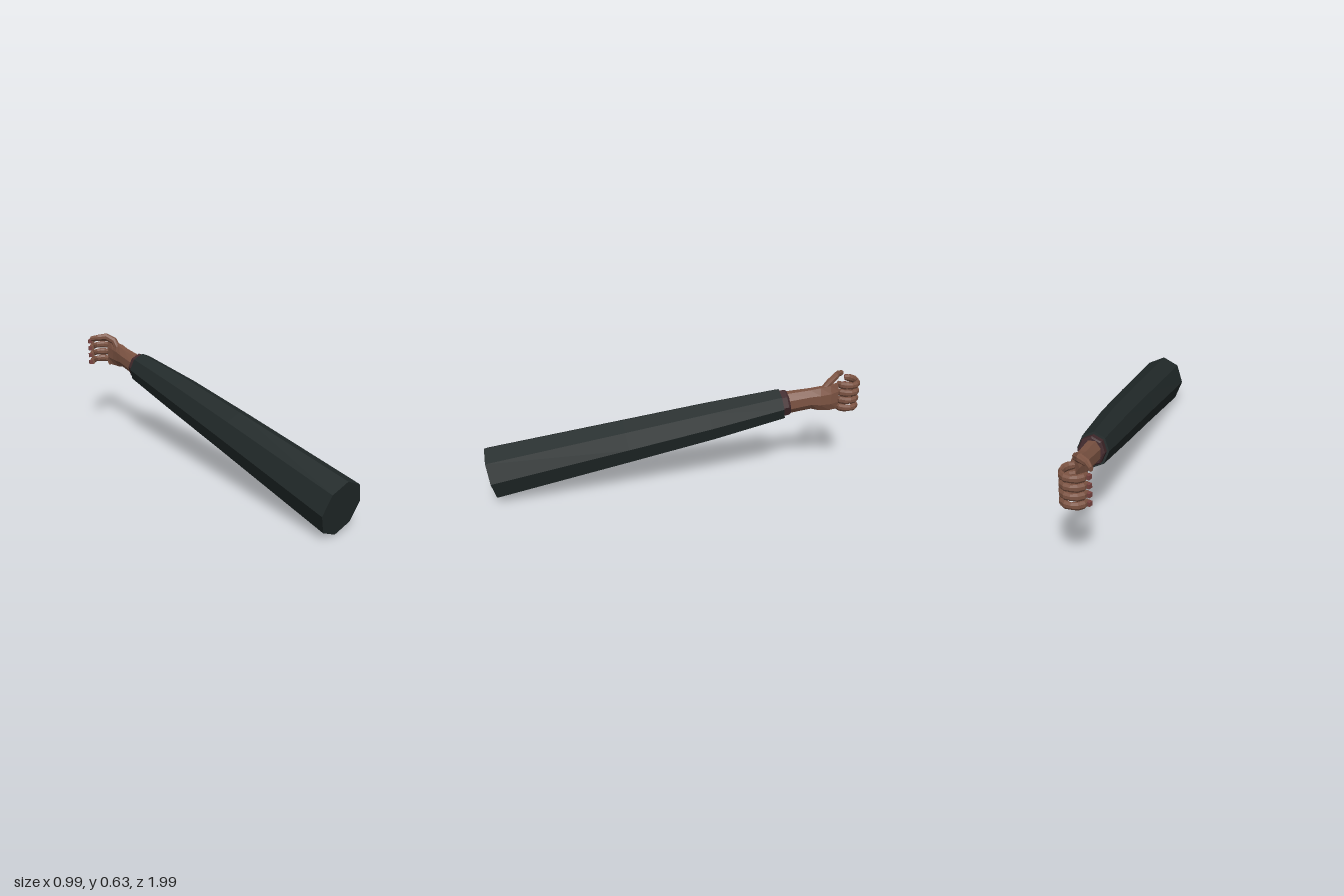
import * as THREE from 'three';

const UP = new THREE.Vector3(0, 1, 0);
const mat = (color) => new THREE.MeshStandardMaterial({ color, flatShading: true, roughness: 0.9 });

// Closed skin over elliptical rings [x, y, z, halfWidth, halfHeight]; turn rotates the corners
function loft(name, rings, sides, material, turn = 0) {
  const centres = rings.map((r) => new THREE.Vector3(r[0], r[1], r[2]));
  const last = rings.length - 1;
  const pos = [], index = [];
  rings.forEach(([, , , w, h], k) => {
    const dir = centres[Math.min(k + 1, last)].clone().sub(centres[Math.max(k - 1, 0)]).normalize();
    const v = UP.clone().addScaledVector(dir, -UP.dot(dir)).normalize();
    const u = v.clone().cross(dir);
    for (let i = 0; i < sides; i++) {
      const a = turn + (i / sides) * Math.PI * 2;
      const p = centres[k].clone().addScaledVector(u, Math.cos(a) * w).addScaledVector(v, Math.sin(a) * h);
      pos.push(p.x, p.y, p.z);
    }
  });
  pos.push(...centres[0].toArray(), ...centres[last].toArray());
  const start = rings.length * sides;
  for (let i = 0; i < sides; i++) {
    const j = (i + 1) % sides;
    for (let k = 0; k < last; k++) {
      const a = k * sides, b = a + sides;
      index.push(a + i, a + j, b + j, a + i, b + j, b + i);
    }
    index.push(start, j, i, start + 1, last * sides + i, last * sides + j);
  }
  const geo = new THREE.BufferGeometry();
  geo.setAttribute('position', new THREE.Float32BufferAttribute(pos, 3));
  geo.setIndex(index);
  geo.computeVertexNormals();
  const mesh = new THREE.Mesh(geo, material);
  mesh.name = name;
  return mesh;
}

export function createModel() {
  const group = new THREE.Group();
  group.name = 'arm';
  const cloth = mat(0x222a2a), lining = mat(0x40282b), skin = mat(0x7d5443), nailMat = mat(0x7a4541);

  // Long tapering sleeve with a slight bend at the elbow
  group.add(loft('sleeve', [
    [0.365, 0.157, 0.94, 0.136, 0.157],
    [0.09, 0.31, 0.23, 0.116, 0.131],
    [-0.08, 0.402, -0.2, 0.102, 0.115],
    [-0.237, 0.482, -0.578, 0.081, 0.092],
  ], 8, cloth));

  // Cuff lining at the sleeve's end
  group.add(loft('cuff', [
    [-0.23, 0.48, -0.56, 0.07, 0.078],
    [-0.248, 0.489, -0.607, 0.07, 0.078],
    [-0.252, 0.491, -0.616, 0.062, 0.07],
  ], 8, lining));

  // Wrist widening into a flat palm
  group.add(loft('wristAndPalm', [
    [-0.25, 0.485, -0.6, 0.05, 0.066],
    [-0.298, 0.505, -0.735, 0.041, 0.062],
    [-0.312, 0.505, -0.785, 0.037, 0.074],
    [-0.335, 0.506, -0.84, 0.028, 0.08],
    [-0.363, 0.51, -0.882, 0.016, 0.085],
  ], 8, skin, Math.PI / 8));

  // Four fingers curled round an open grip, pinched at the joints, each with a nail
  const cx = -0.41, cz = -0.925, R = 0.062;
  for (let f = 0; f < 4; f++) {
    const y = 0.444 + f * 0.0455;
    const rings = [];
    for (let k = 0; k <= 9; k++) {
      const a = THREE.MathUtils.degToRad(50 - k * 27);
      const s = k === 9 ? 0.75 : k % 3 === 0 ? 0.82 : 1;
      rings.push([cx + R * Math.cos(a), y, cz + R * Math.sin(a), 0.014 * s, 0.022 * s]);
    }
    group.add(loft('finger' + (f + 1), rings, 8, skin, Math.PI / 8));
    const nail = new THREE.Mesh(new THREE.BoxGeometry(0.02, 0.022, 0.022), nailMat);
    nail.name = 'nail' + (f + 1);
    nail.position.set(-0.484, y, -0.918);
    group.add(nail);
  }

  // Thumb arching over the top of the grip
  group.add(loft('thumb', [
    [-0.328, 0.555, -0.805, 0.018, 0.022],
    [-0.345, 0.594, -0.832, 0.02, 0.022],
    [-0.39, 0.616, -0.862, 0.018, 0.023],
    [-0.44, 0.611, -0.871, 0.015, 0.02],
    [-0.478, 0.604, -0.893, 0.011, 0.015],
  ], 8, skin, Math.PI / 8));

  return group;
}
